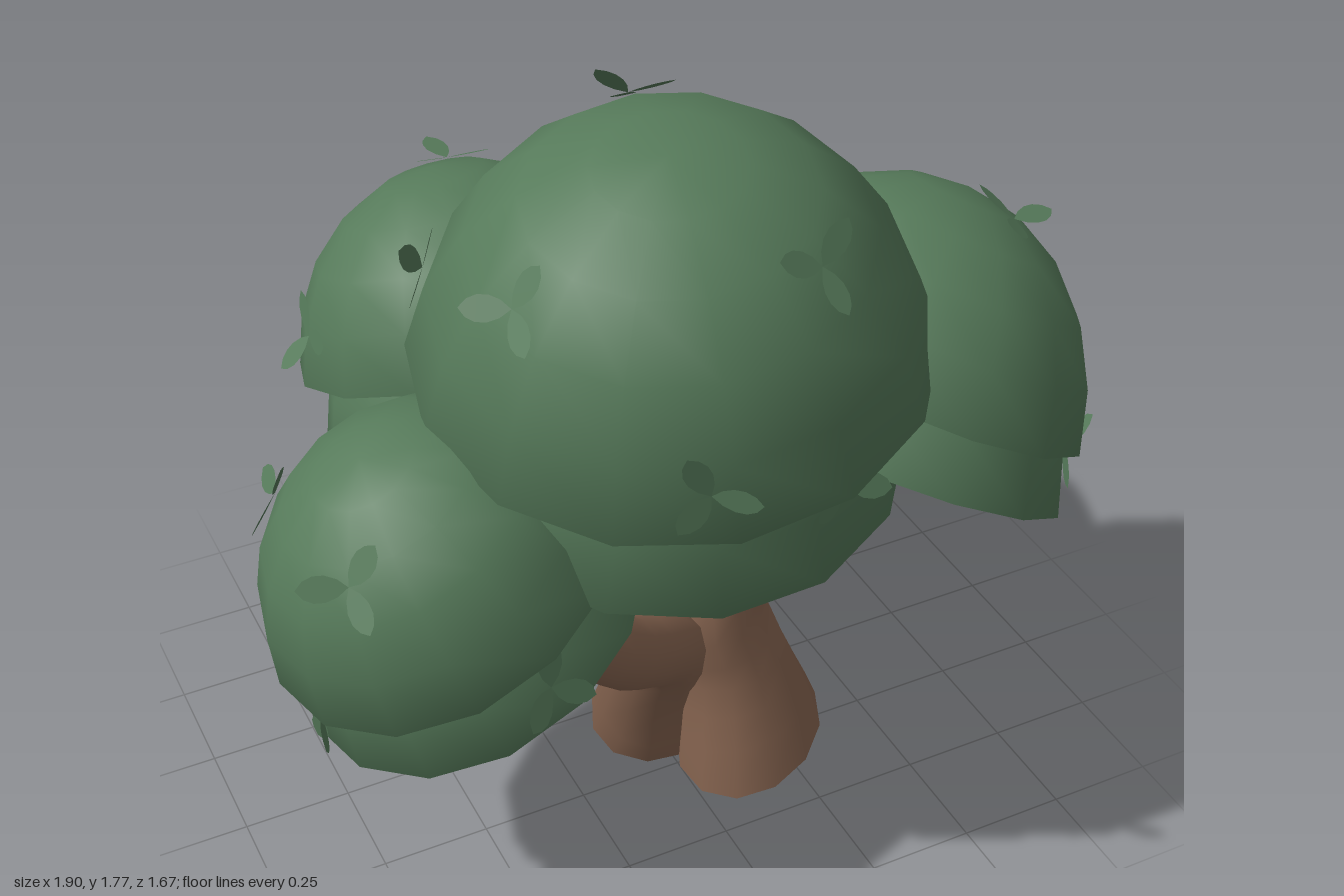
import * as THREE from 'three';

const UP = new THREE.Vector3(0, 1, 0);
const vec = (a) => new THREE.Vector3(...a);
const bark = new THREE.MeshStandardMaterial({ color: 0x8b6853, side: THREE.DoubleSide });
const foliage = new THREE.MeshStandardMaterial({ color: 0x567a5a, side: THREE.DoubleSide });

// Tapered open tube through points [x, y, z, radius]; a limb that starts
// on the ground gets a flat foot flared along the x = -z diagonal
function limb(name, pts) {
  const curve = new THREE.CatmullRomCurve3(pts.map(([x, y, z]) => new THREE.Vector3(x, y, z)));
  const rings = (pts.length - 1) * 3, sides = 12;
  const geo = new THREE.TubeGeometry(curve, rings, 1, sides);
  const pos = geo.attributes.position;
  const v = new THREE.Vector3();
  for (let i = 0; i <= rings; i++) {
    const c = curve.getPointAt(i / rings);
    const f = curve.getUtoTmapping(i / rings) * (pts.length - 1);
    const k = Math.min(Math.floor(f), pts.length - 2);
    const r = THREE.MathUtils.lerp(pts[k][3], pts[k + 1][3], f - k);
    const flare = 0.45 * Math.max(0, 1 - c.y / 0.22);
    for (let j = 0; j <= sides; j++) {
      const n = i * (sides + 1) + j;
      v.fromBufferAttribute(pos, n).sub(c).multiplyScalar(r);
      const push = ((v.x - v.z) / 2) * flare;
      v.x += push;
      v.z -= push;
      v.add(c);
      if (i === 0 && pts[0][1] === 0) v.y = 0;
      pos.setXYZ(n, v.x, Math.max(v.y, 0), v.z);
    }
  }
  const mesh = new THREE.Mesh(geo, bark);
  mesh.name = name;
  return mesh;
}

// Relative dome radius at an angle from its axis: the rim flares slightly
const flareAt = (angle) => 0.915 + 0.085 * Math.min(1, angle / (Math.PI / 2)) ** 4;

// Open half-sphere, tilted so its top faces the given axis
function dome(name, centre, axis, r) {
  const geo = new THREE.SphereGeometry(r, 14, 5, 0, Math.PI * 2, 0, Math.PI / 2);
  const pos = geo.attributes.position;
  const v = new THREE.Vector3();
  for (let i = 0; i < pos.count; i++) {
    v.fromBufferAttribute(pos, i);
    v.multiplyScalar(flareAt(v.angleTo(UP)));
    pos.setXYZ(i, v.x, v.y, v.z);
  }
  const mesh = new THREE.Mesh(geo, foliage);
  mesh.name = name;
  mesh.position.copy(centre);
  mesh.quaternion.setFromUnitVectors(UP, axis);
  return mesh;
}

// Pointed oval leaf lying flat
const leafShape = new THREE.Shape();
leafShape.moveTo(0, 0);
leafShape.bezierCurveTo(0.037, -0.035, 0.037, -0.085, 0, -0.105);
leafShape.bezierCurveTo(-0.037, -0.085, -0.037, -0.035, 0, 0);
const leafGeo = new THREE.ShapeGeometry(leafShape, 5).rotateX(-Math.PI / 2);

// Three leaves resting on the foliage at a point, facing outward
function leafCluster(point, normal, spin) {
  const cluster = new THREE.Group();
  cluster.name = 'leafCluster';
  cluster.position.copy(point);
  cluster.quaternion.setFromUnitVectors(UP, normal);
  for (let i = 0; i < 3; i++) {
    const leaf = new THREE.Mesh(leafGeo, foliage);
    leaf.name = 'leaf';
    leaf.rotation.order = 'YXZ';
    leaf.rotation.set(i === 0 ? -0.5 : -0.05, spin + i * 2.0, 0);
    cluster.add(leaf);
  }
  return cluster;
}

// Crowns: dome centre, axis, radius, skirt centre, skirt axis, skirt radius,
// and outward directions of leaf clusters on the dome and the skirt
const crowns = [
  { name: 'topCrown', c: [-0.045, 1.26, 0.28], a: [-0.12, 0.97, 0.19], r: 0.555,
    sc: [-0.05, 1.03, 0.25], sa: [-0.04, 0.96, 0.23], sr: 0.525,
    leaves: [[-0.17, 0.0, 0.5], [0.14, 0.36, 0.38], [-0.41, 0.27, 0.14], [0.04, 0.44, -0.3], [-0.42, 0.13, -0.27]],
    skirtLeaves: [[0.18, 0.09, 0.46]] },
  { name: 'rightSideCrown', c: [-0.58, 0.835, 0.28], a: [-0.42, 0.9, 0], r: 0.41,
    sc: [-0.52, 0.69, 0.28], sa: [-0.43, 0.9, 0], sr: 0.405,
    leaves: [[-0.3, 0.16, -0.23], [-0.27, 0.2, 0.2]],
    skirtLeaves: [[0.02, 0.1, 0.4], [-0.4, -0.08, 0.1]] },
  { name: 'leftSideCrown', c: [0.49, 1.04, 0.28], a: [0.48, 0.86, -0.12], r: 0.465,
    sc: [0.44, 0.88, 0.32], sa: [0.47, 0.85, -0.18], sr: 0.445,
    leaves: [[0.25, 0.36, 0.08], [0.43, -0.03, -0.2]],
    skirtLeaves: [[0.4, -0.02, 0.2]] },
  { name: 'backLeftCrown', c: [0.27, 0.915, -0.33], a: [0.32, 0.88, -0.33], r: 0.385,
    sc: [0.22, 0.725, -0.29], sa: [0.3, 0.87, -0.33], sr: 0.36,
    leaves: [[0.02, 0.34, -0.1], [0.28, 0.05, -0.22]],
    skirtLeaves: [[0.2, -0.07, -0.3]] },
  { name: 'backRightCrown', c: [-0.225, 0.955, -0.38], a: [-0.1, 0.92, -0.32], r: 0.425,
    sc: [-0.21, 0.775, -0.33], sa: [-0.1, 0.92, -0.32], sr: 0.405,
    leaves: [[0.02, 0.36, -0.18], [-0.38, 0.08, 0], [0.08, 0.06, -0.4]],
    skirtLeaves: [[-0.15, -0.03, -0.38]] },
];

export function createModel() {
  const tree = new THREE.Group();
  tree.name = 'tree';

  // Two merged trunks, each running on into a bough, and the side boughs
  tree.add(
    limb('rightTrunk', [[0.07, 0, 0.03, 0.172], [0.03, 0.18, 0.09, 0.115], [0.0, 0.32, 0.18, 0.1],
      [-0.2, 0.5, 0.33, 0.085], [-0.42, 0.72, 0.36, 0.065], [-0.52, 0.9, 0.34, 0.05]]),
    limb('leftTrunk', [[0.21, 0, 0.22, 0.172], [0.19, 0.2, 0.17, 0.135], [0.145, 0.41, 0.14, 0.12],
      [0.25, 0.6, 0.115, 0.09], [0.41, 0.78, 0.11, 0.075], [0.5, 0.95, 0.12, 0.06], [0.56, 1.15, 0.14, 0.045]]),
    limb('leftTwig', [[0.41, 0.8, 0.11, 0.05], [0.44, 0.93, 0.16, 0.035], [0.45, 1.1, 0.22, 0.025]]),
    limb('topBough', [[0.13, 0.42, 0.13, 0.08], [0.07, 0.6, 0.21, 0.085], [-0.01, 0.8, 0.27, 0.075],
      [-0.07, 1.1, 0.29, 0.055]]),
    limb('backRightBough', [[0.04, 0.25, 0.13, 0.09], [0.03, 0.45, 0.04, 0.095], [-0.03, 0.6, -0.09, 0.08],
      [-0.07, 0.75, -0.2, 0.065], [-0.13, 0.98, -0.3, 0.045]]),
    limb('backLeftBough', [[0.15, 0.33, 0.13, 0.1], [0.1, 0.49, 0.01, 0.095], [0.1, 0.65, -0.12, 0.08],
      [0.18, 0.8, -0.21, 0.062], [0.28, 0.97, -0.3, 0.045]]),
  );

  // Each crown is a dome over a lower skirt, dotted with leaf clusters
  let spin = 0;
  for (const k of crowns) {
    const crown = new THREE.Group();
    crown.name = k.name;
    const layers = [
      ['dome', k.c, k.a, k.r, k.leaves],
      ['skirt', k.sc, k.sa, k.sr, k.skirtLeaves],
    ];
    for (const [name, c, a, r, leaves] of layers) {
      const centre = vec(c), axis = vec(a).normalize();
      crown.add(dome(name, centre, axis, r));
      for (const d of leaves) {
        const n = vec(d).normalize();
        const point = n.clone().multiplyScalar(r * flareAt(n.angleTo(axis)) + 0.003).add(centre);
        crown.add(leafCluster(point, n, spin += 1.3));
      }
    }
    tree.add(crown);
  }
  return tree;
}
